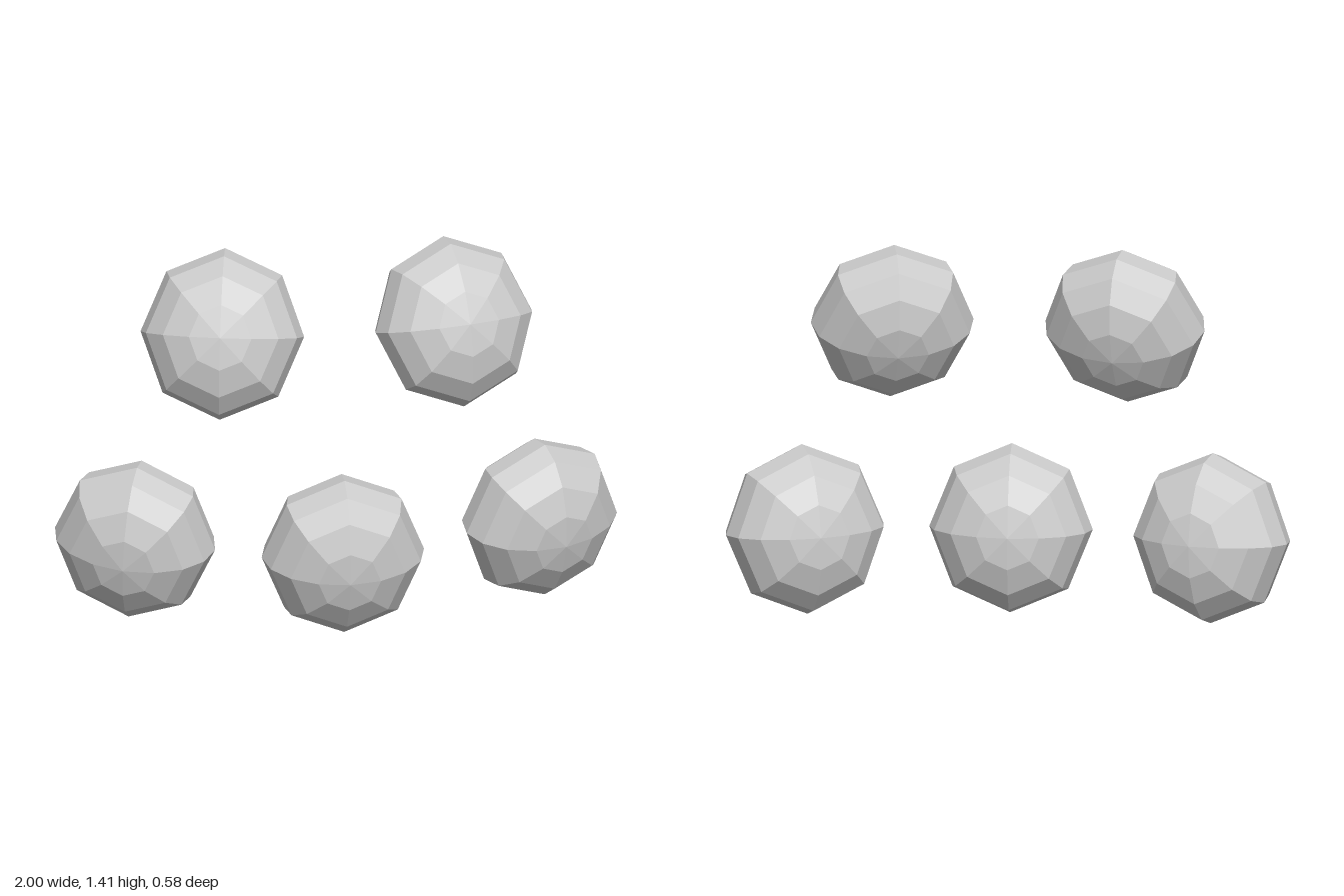
import * as THREE from 'three';

// One faceted, flattened pebble: its poles lie front to back
const RADII = { x: 0.29, y: 0.305, z: 0.21 };

function makePebble(name, material, { position, pitch, yaw, roll }) {
  const geometry = new THREE.SphereGeometry(1, 8, 8);
  geometry.rotateX(Math.PI / 2);
  geometry.scale(RADII.x, RADII.y, RADII.z);
  const mesh = new THREE.Mesh(geometry, material);
  mesh.name = name;
  mesh.position.set(...position);
  const rad = THREE.MathUtils.degToRad;
  mesh.rotation.set(rad(pitch), rad(yaw), rad(roll), 'YXZ');
  return mesh;
}

export function createModel() {
  const model = new THREE.Group();
  model.name = 'pebbleArc';
  const material = new THREE.MeshStandardMaterial({ color: 0xcccccc, flatShading: true });

  // Middle pebble, furthest forward
  model.add(makePebble('centrePebble', material, {
    position: [0, 0.303, 0.08], pitch: 9, yaw: 0, roll: 0,
  }));

  // Outer pairs, turned outwards; the lower ones lean down, the upper ones up
  for (const side of [1, -1]) {
    const label = side > 0 ? 'left' : 'right';
    model.add(makePebble(label + 'LowerPebble', material, {
      position: [side * 0.722, 0.335, -0.07], pitch: 10, yaw: side * 20, roll: side > 0 ? 1 : -3.5,
    }));
    model.add(makePebble(label + 'UpperPebble', material, {
      position: [side * 0.413, 1.12, -0.05], pitch: -20, yaw: side * 10, roll: side,
    }));
  }
  return model;
}
